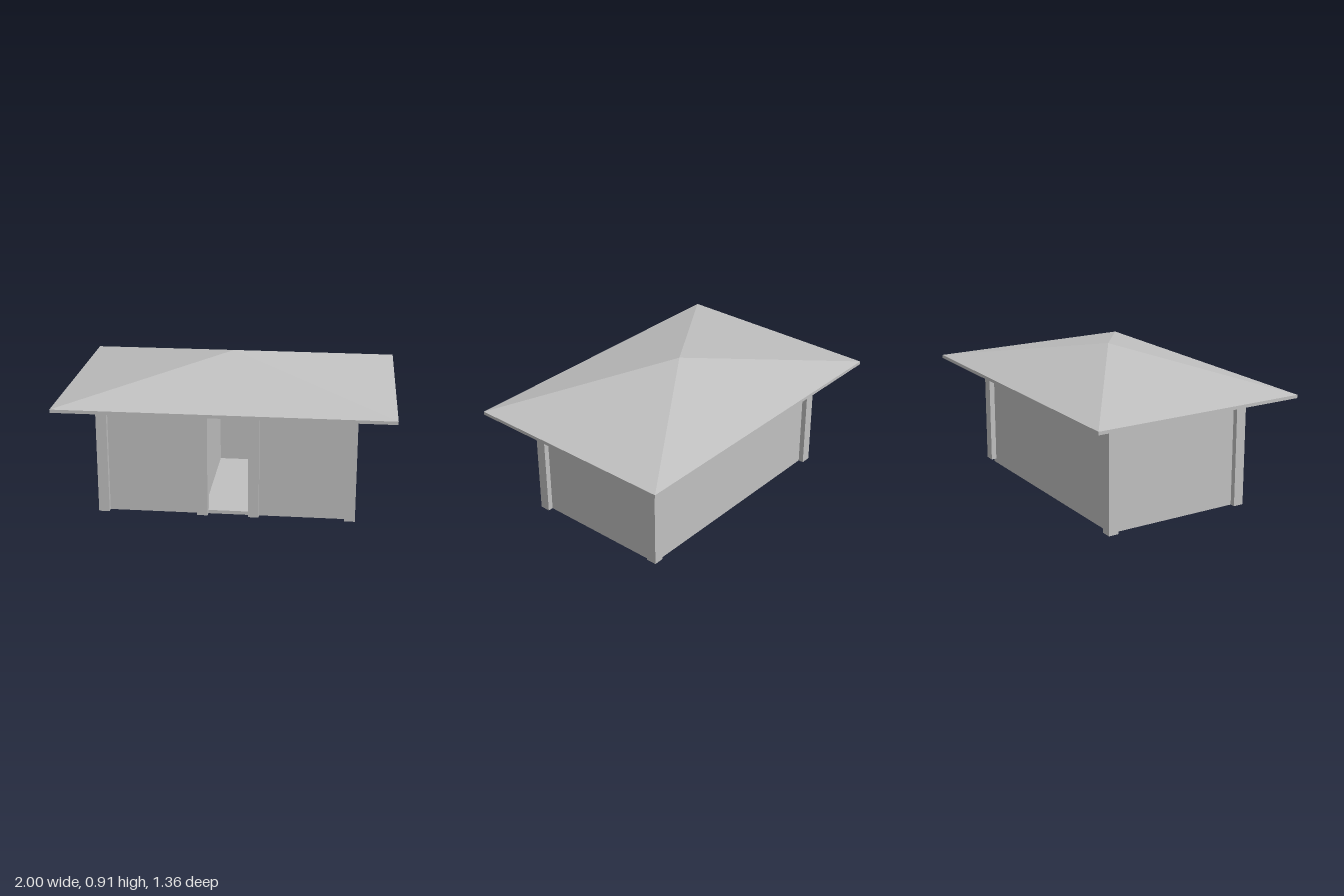
import * as THREE from 'three';

const stone = new THREE.MeshStandardMaterial({ color: 0xc0c0c0 });
stone.name = 'light grey';

// Box given by its lower and upper limits on each axis
function block(name, [x0, x1], [y0, y1], [z0, z1]) {
  const geo = new THREE.BoxGeometry(x1 - x0, y1 - y0, z1 - z0);
  geo.translate((x0 + x1) / 2, (y0 + y1) / 2, (z0 + z1) / 2);
  const mesh = new THREE.Mesh(geo, stone);
  mesh.name = name;
  return mesh;
}

// Thin hollow pyramid: four slopes, fascia edge and sloping underside
function hipRoof(hx, hz, eave, peak, thick) {
  const corners = [[hx, hz], [hx, -hz], [-hx, -hz], [-hx, hz]];
  const pos = [];
  corners.forEach(([ax, az], i) => {
    const [bx, bz] = corners[(i + 1) % 4];
    const aLow = [ax, eave, az], bLow = [bx, eave, bz];
    const aTop = [ax, eave + thick, az], bTop = [bx, eave + thick, bz];
    pos.push(...aTop, ...bTop, 0, peak, 0);
    pos.push(...aLow, ...bLow, ...bTop, ...aLow, ...bTop, ...aTop);
    pos.push(...bLow, ...aLow, 0, peak - thick, 0);
  });
  const geo = new THREE.BufferGeometry();
  geo.setAttribute('position', new THREE.Float32BufferAttribute(pos, 3));
  geo.computeVertexNormals();
  const mesh = new THREE.Mesh(geo, stone);
  mesh.name = 'roof';
  return mesh;
}

export function createModel() {
  const house = new THREE.Group();
  house.name = 'house';

  const X = 0.746, Z = 0.445;      // outer wall planes
  const T = 0.02;                  // wall thickness
  const FLOOR = 0.022, TOP = 0.745;
  const DOOR = [-0.11, 0.135];     // door opening

  house.add(hipRoof(1, 0.68, 0.695, 0.91, 0.02));
  house.add(block('floor', [-X, X], [0, FLOOR], [-Z, Z]));

  // Walls, standing on the floor slab
  const h = [FLOOR, TOP];
  house.add(block('backWall', [-X, X], [FLOOR, 0.755], [-Z, -Z + T]));
  house.add(block('rightWall', [-X, -X + T], h, [-Z + T, Z - T]));
  house.add(block('leftWall', [X - T, X], h, [-Z + T, Z - T]));
  const front = [Z - T, Z];
  house.add(block('frontWallRight', [-X, -0.14], [FLOOR, 0.755], front));
  house.add(block('frontWallLeft', [0.17, X], [FLOOR, 0.755], front));
  house.add(block('doorLintel', DOOR, [0.675, 0.755], front));
  house.add(block('innerPartition', [-0.15, -0.135], h, [-Z + T, Z - T]));

  // Corner posts; the back left one starts at floor level
  const P = 0.065;
  for (const sx of [-1, 1]) {
    for (const sz of [-1, 1]) {
      const cx = sx * 0.7465, cz = sz * 0.446;
      const bottom = sx > 0 && sz < 0 ? 0.025 : 0;
      house.add(block('cornerPost', [cx - P / 2, cx + P / 2], [bottom, TOP], [cz - P / 2, cz + P / 2]));
    }
  }

  // Posts on both sides of the door
  for (const x of [DOOR[0] - P, DOOR[1]]) {
    house.add(block('doorPost', [x, x + P], [0, TOP], [0.4135, 0.4785]));
  }

  return house;
}
